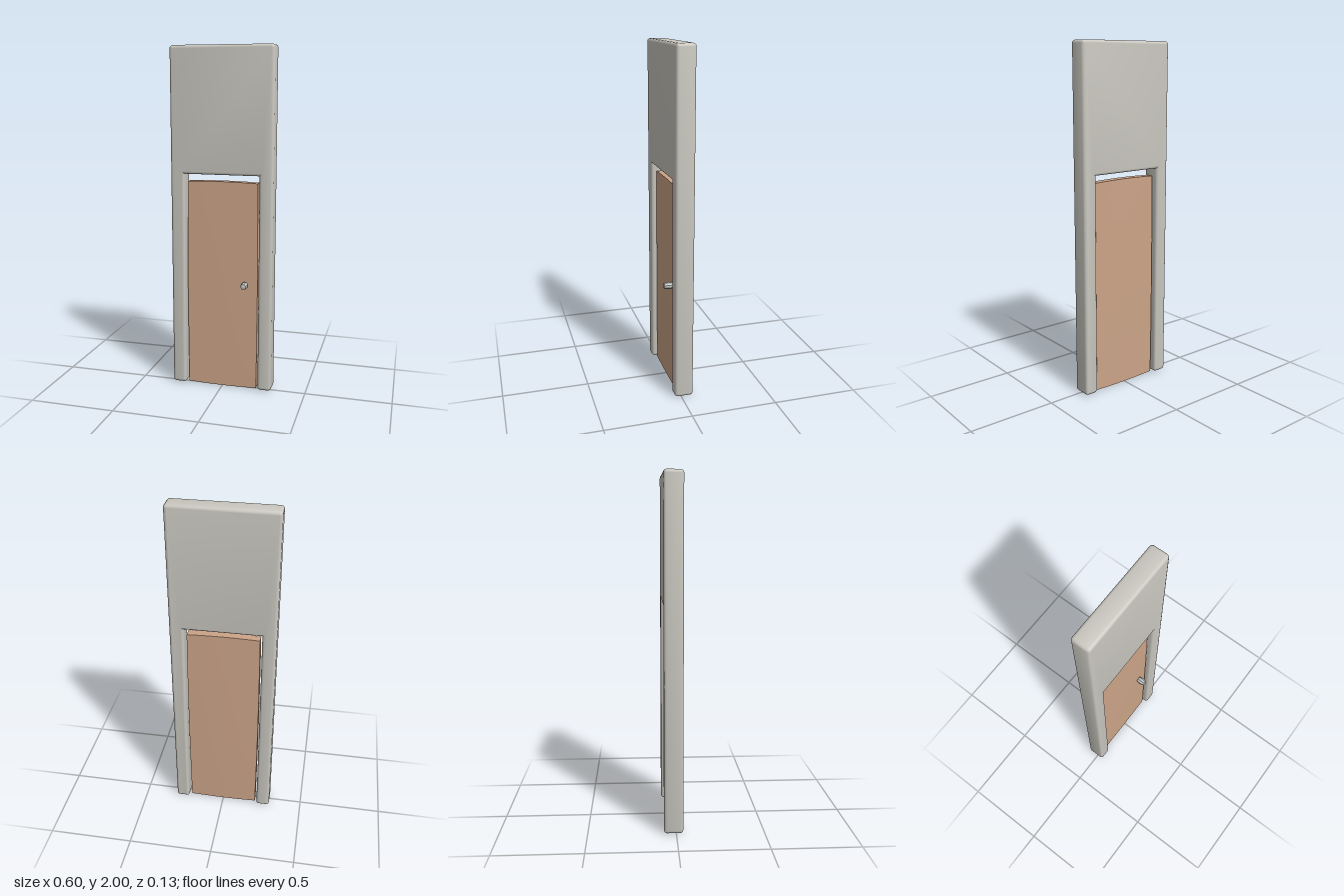
import * as THREE from 'three';
import { toCreasedNormals } from 'three/addons/utils/BufferGeometryUtils.js';

const plaster = new THREE.MeshStandardMaterial({ color: 0xcac8c0 });
plaster.name = 'pale grey frame';
const wood = new THREE.MeshStandardMaterial({ color: 0xcca488 });
wood.name = 'light brown door';
const metal = new THREE.MeshStandardMaterial({ color: 0xc0c4c0 });
metal.name = 'grey metal';

function addMesh(group, name, geometry, material) {
  const mesh = new THREE.Mesh(geometry, material);
  mesh.name = name;
  group.add(mesh);
  return mesh;
}

// Smooth the bevels only; enlarged meanwhile so close vertices stay separate
function crease(geometry, angle) {
  geometry.scale(100, 100, 100);
  return toCreasedNormals(geometry, angle).scale(0.01, 0.01, 0.01);
}

// Wall slab with a door opening, rounded on every edge
function frameGeometry() {
  const bevel = 0.016;
  const outer = 0.301 - bevel, inner = 0.22 + bevel;
  const bottom = 0.005 + bevel, top = 2 - bevel, lintel = 1.28 + bevel;
  const r = 0.003;
  const shape = new THREE.Shape();
  shape.moveTo(-outer + r, bottom);
  shape.lineTo(-inner - r, bottom);
  shape.quadraticCurveTo(-inner, bottom, -inner, bottom + r);
  shape.lineTo(-inner, lintel);
  shape.lineTo(inner, lintel);
  shape.lineTo(inner, bottom + r);
  shape.quadraticCurveTo(inner, bottom, inner + r, bottom);
  shape.lineTo(outer - r, bottom);
  shape.quadraticCurveTo(outer, bottom, outer, bottom + r);
  shape.lineTo(outer, top - r);
  shape.quadraticCurveTo(outer, top, outer - r, top);
  shape.lineTo(-outer + r, top);
  shape.quadraticCurveTo(-outer, top, -outer, top - r);
  shape.lineTo(-outer, bottom + r);
  shape.quadraticCurveTo(-outer, bottom, -outer + r, bottom);
  const geometry = new THREE.ExtrudeGeometry(shape, {
    depth: 0.108 - 2 * bevel, bevelEnabled: true, bevelSize: bevel,
    bevelThickness: bevel, bevelSegments: 3, curveSegments: 3,
  });
  geometry.translate(0, 0, -0.069 + bevel);
  return crease(geometry, 0.65);
}

// Door leaf whose faces and edges swell slightly towards the middle
function doorGeometry() {
  const w = 0.207, h = 0.615, d = 0.025;
  const geometry = new THREE.BoxGeometry(2 * w, 2 * h, 2 * d, 6, 6, 2);
  const p = geometry.attributes.position;
  for (let i = 0; i < p.count; i++) {
    const u = 1 - (p.getX(i) / w) ** 2;
    const v = 1 - (p.getY(i) / h) ** 2;
    p.setXYZ(i, p.getX(i) * (1 + 0.018 * v), p.getY(i) * (1 + 0.008 * u),
      p.getZ(i) * (1 + 0.15 * u * v));
  }
  geometry.computeVertexNormals();
  return geometry;
}

// Faceted knob, tapering to a blunt tip
function knobGeometry() {
  const profile = [[0.017, 0], [0.0215, 0.018], [0.021, 0.026], [0.016, 0.049], [0, 0.054]]
    .map(([r, y]) => new THREE.Vector2(r, y));
  const geometry = new THREE.LatheGeometry(profile, 8);
  geometry.rotateY(Math.PI / 8);
  geometry.rotateX(Math.PI / 2);
  return crease(geometry, 0.6);
}

export function createModel() {
  const model = new THREE.Group();
  model.name = 'doorway';
  addMesh(model, 'frame', frameGeometry(), plaster);
  addMesh(model, 'door', doorGeometry(), wood).position.set(0, 0.62, -0.015);
  addMesh(model, 'knob', knobGeometry(), metal).position.set(0.138, 0.64, 0.012);
  return model;
}
